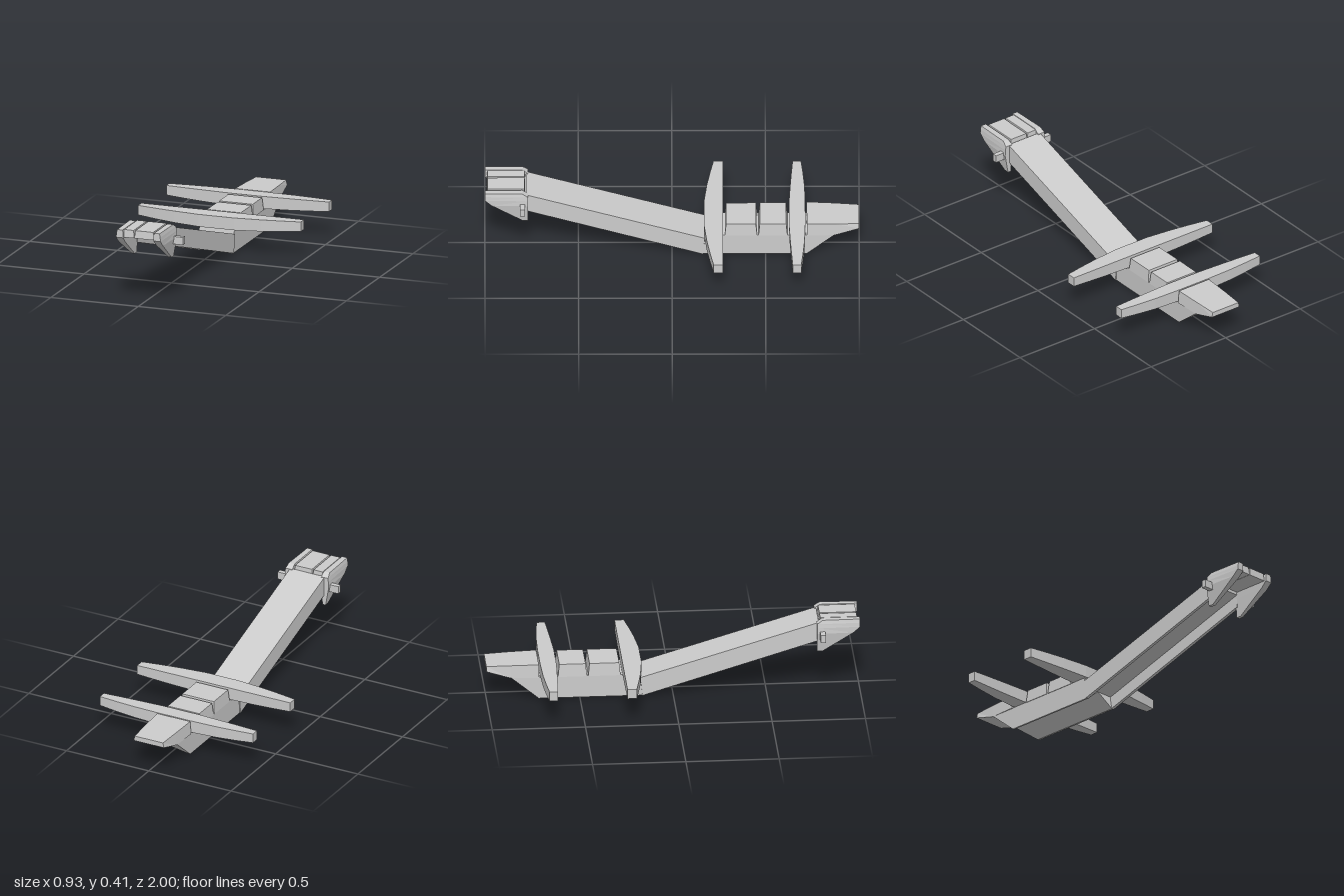
import * as THREE from 'three';

const material = new THREE.MeshStandardMaterial({ color: 0xcccccc, flatShading: true });

// Skin a stack of four-cornered rings, each counter-clockwise seen from the last ring
function loft(rings) {
  const pos = [], idx = [];
  rings.forEach(r => r.forEach(p => pos.push(...p)));
  for (let i = 0; i < rings.length - 1; i++) {
    for (let j = 0; j < 4; j++) {
      const a = i * 4 + j, b = i * 4 + (j + 1) % 4;
      idx.push(a, b, b + 4, a, b + 4, a + 4);
    }
  }
  const e = (rings.length - 1) * 4;
  idx.push(0, 2, 1, 0, 3, 2, e, e + 1, e + 2, e, e + 2, e + 3);
  const g = new THREE.BufferGeometry();
  g.setAttribute('position', new THREE.Float32BufferAttribute(pos, 3));
  g.setIndex(idx);
  const flat = g.toNonIndexed();
  flat.computeVertexNormals();
  return flat;
}

// Extrude an (x, y) section along z and move every vertex by a rule (t runs 0 to 1)
function sweep(points, rule) {
  const shape = new THREE.Shape(points.map(p => new THREE.Vector2(...p)));
  const g = new THREE.ExtrudeGeometry(shape, { depth: 1, bevelEnabled: false });
  const p = g.attributes.position;
  for (let i = 0; i < p.count; i++) {
    const [y, z] = rule(p.getY(i), p.getZ(i));
    p.setY(i, y);
    p.setZ(i, z);
  }
  g.computeVertexNormals();
  return g;
}

// Box given by its limits, its top drawn in slightly on all sides
function block([x0, x1], [y0, y1], [z0, z1], inset = 0) {
  const ring = (y, d) => [
    [x0 + d, y, z1 - d], [x1 - d, y, z1 - d], [x1 - d, y, z0 + d], [x0 + d, y, z0 + d]];
  return loft([ring(y0, 0), ring(y1, inset)]);
}

// Mirrored crossbar from half-span stations [x, front z, back z, bottom y]
function crossbar(stations, top) {
  const all = [...stations.map(([x, ...r]) => [-x, ...r]).reverse(), ...stations];
  return loft(all.map(([x, zf, zb, yb]) => [[x, yb, zf], [x, yb, zb], [x, top, zb], [x, top, zf]]));
}

export function createModel() {
  const model = new THREE.Group();
  const add = (name, geometry, mirrored = false) => {
    const mesh = new THREE.Mesh(geometry, material);
    mesh.name = name;
    if (mirrored) mesh.scale.x = -1;
    model.add(mesh);
  };

  // Rear hull with a V groove underneath and raked ends
  add('hull', sweep(
    [[-0.1, 0], [-0.09, 0], [-0.005, 0.072], [0.09, 0], [0.1, 0], [0.1, 0.124], [-0.1, 0.124]],
    (y, t) => [y, t > 0.5 ? -0.162 - 0.16 * y : -0.72 - 1.2 * y]));

  // Long rising neck, a channel open below
  add('neck', sweep(
    [[-0.105, 0], [-0.088, 0], [-0.088, 0.07], [0.088, 0.07], [0.088, 0], [0.105, 0],
      [0.105, 0.105], [-0.105, 0.105]],
    (y, t) => [y + 0.29 * t, -0.165 + 0.945 * t - 0.1 * y * (1 - t)]));

  // Two crossbars over the hull
  add('frontCrossbar', crossbar([
    [0.1, -0.17, -0.272, 0.127], [0.25, -0.186, -0.272, 0.131],
    [0.36, -0.203, -0.272, 0.136], [0.465, -0.222, -0.272, 0.142]], 0.195));
  add('rearCrossbar', crossbar([
    [0.1, -0.625, -0.712, 0.127], [0.25, -0.632, -0.708, 0.131],
    [0.36, -0.638, -0.7, 0.136], [0.465, -0.645, -0.69, 0.142]], 0.195));

  // Deck blocks between the crossbars
  for (const z of [[-0.455, -0.282], [-0.617, -0.462]]) {
    add('deckBlock', block([-0.103, 0.103], [0.122, 0.192], z, 0.007));
  }

  // Tapered tail overhanging the hull
  add('tail', loft([
    [-1, 0.092, 0.16, 0.188], [-0.87, 0.1, 0.122, 0.192], [-0.72, 0.106, 0.122, 0.195],
  ].map(([z, w, b, t]) => [[-w, b, z], [w, b, z], [w - 0.006, t, z], [-w + 0.006, t, z]])));

  // Head cheeks: [y, back z, front z, inner x, outer x at front, outer x at back]
  const cheek = loft([
    [0.232, 0.77, 0.8, 0.096, 0.114, 0.115], [0.34, 0.77, 0.965, 0.088, 0.127, 0.134],
    [0.372, 0.77, 1, 0.086, 0.127, 0.132], [0.395, 0.77, 1, 0.087, 0.125, 0.129],
    [0.415, 0.8, 1, 0.09, 0.121, 0.124],
  ].map(([y, zb, zf, xi, xf, xb]) => [[xi, y, zf], [xf, y, zf], [xb, y, zb], [xi, y, zb]]));
  const pin = block([0.115, 0.184], [0.31, 0.352], [0.785, 0.812]);
  for (const mirrored of [false, true]) {
    add(mirrored ? 'rightCheek' : 'leftCheek', cheek, mirrored);
    add(mirrored ? 'rightPin' : 'leftPin', pin, mirrored);
  }

  // Head top plates, split by a narrow groove
  for (const x of [[-0.09, -0.028], [-0.026, 0.084]]) {
    add('headPlate', block(x, [0.373, 0.415], [0.785, 0.99], 0.004));
  }

  return model;
}
